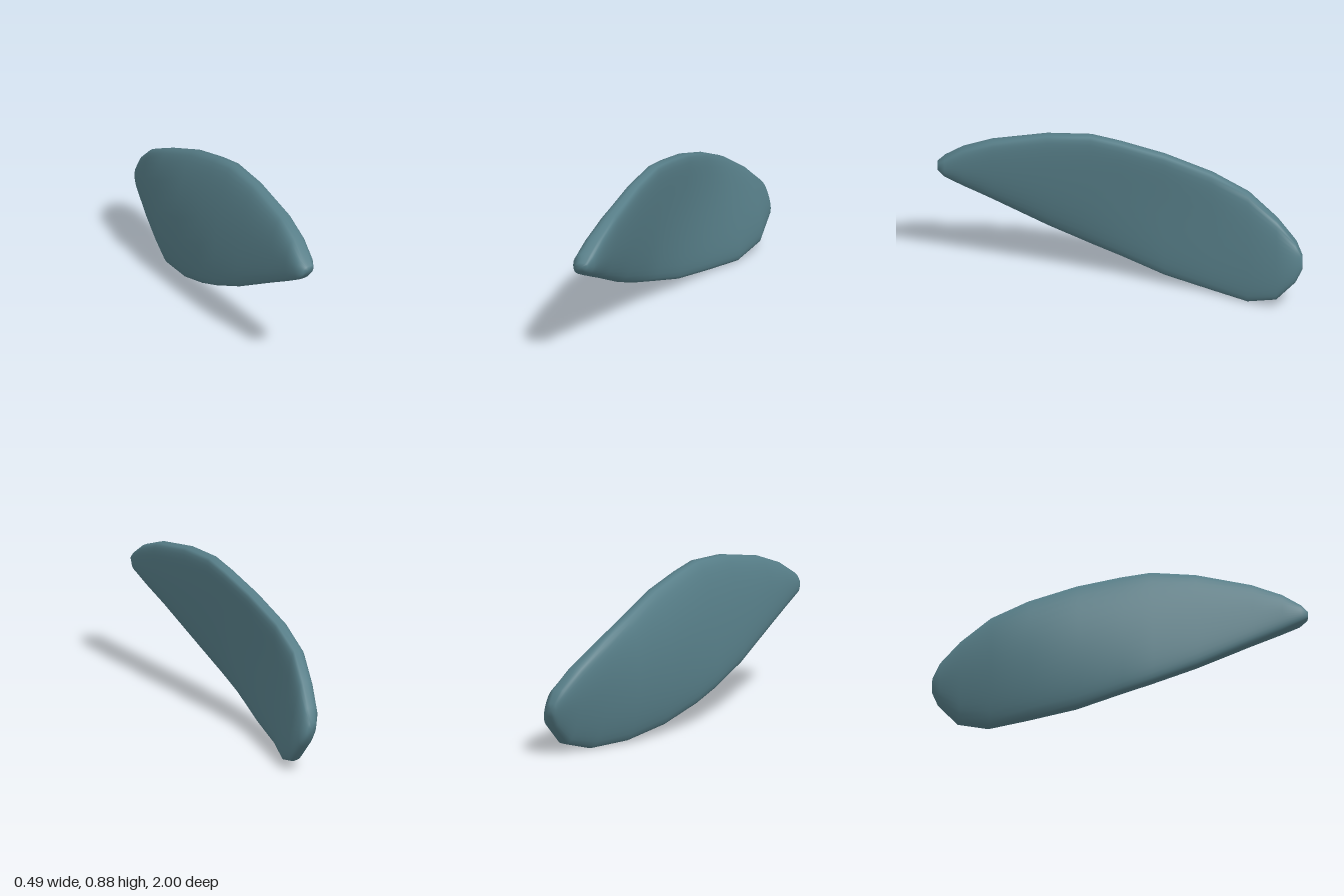
import * as THREE from 'three';

// Cross-sections from front tip to back end:
// z, bottom y, top y, bottom x, top x, half thickness, sideways bow of the middle
const SECTIONS = [
  [1.0, 0.585, 0.635, -0.2, -0.185, 0.035, 0],
  [0.96, 0.55, 0.67, -0.195, -0.185, 0.06, 0],
  [0.86, 0.5, 0.74, -0.19, -0.16, 0.066, 0],
  [0.7, 0.425, 0.805, -0.187, -0.13, 0.067, 0],
  [0.4, 0.28, 0.87, -0.178, -0.09, 0.066, 0.003],
  [0.16, 0.185, 0.885, -0.155, -0.063, 0.066, 0.01],
  [0.0, 0.13, 0.857, -0.13, -0.047, 0.067, 0.018],
  [-0.24, 0.055, 0.8, -0.065, -0.025, 0.068, 0.035],
  [-0.5, 0.011, 0.705, 0.015, -0.01, 0.068, 0.032],
  [-0.7, 0.0, 0.61, 0.117, 0.025, 0.067, 0.016],
  [-0.86, 0.05, 0.49, 0.182, 0.093, 0.067, 0.005],
  [-0.965, 0.165, 0.38, 0.197, 0.145, 0.058, 0],
  [-1.0, 0.23, 0.305, 0.18, 0.165, 0.03, 0],
];
const SIDES = 36;

// Flat-sided loop, fuller at two opposite rim corners, leaning and bowing with its section
function sectionPoint([z, yb, yt, xb, xt, half, bow], angle) {
  const v = Math.cos(angle);
  const s = Math.sin(angle);
  const side = Math.sign(s) * Math.pow(Math.abs(s), s * v > 0 ? 0.45 : 0.7);
  const x = THREE.MathUtils.lerp(xb, xt, (v + 1) / 2) - bow * (1 - v * v) + half * side;
  const y = (yb + yt) / 2 + (v * (yt - yb)) / 2;
  return [x, y, z];
}

function bladeGeometry() {
  const positions = [];
  const index = [];
  for (const section of SECTIONS) {
    for (let j = 0; j < SIDES; j++) {
      positions.push(...sectionPoint(section, (j / SIDES) * Math.PI * 2));
    }
  }
  const last = SECTIONS.length - 1;
  for (let i = 0; i < last; i++) {
    for (let j = 0; j < SIDES; j++) {
      const k = (j + 1) % SIDES;
      const a = i * SIDES + j, b = a + SIDES;
      const c = i * SIDES + k, d = c + SIDES;
      index.push(a, c, b, b, c, d);
    }
  }
  // Small end caps
  for (const i of [0, last]) {
    const [z, yb, yt, xb, xt] = SECTIONS[i];
    const centre = positions.length / 3;
    positions.push((xb + xt) / 2, (yb + yt) / 2, z);
    for (let j = 0; j < SIDES; j++) {
      const a = i * SIDES + j, b = i * SIDES + ((j + 1) % SIDES);
      if (i === 0) index.push(centre, b, a);
      else index.push(centre, a, b);
    }
  }
  const geometry = new THREE.BufferGeometry();
  geometry.setAttribute('position', new THREE.Float32BufferAttribute(positions, 3));
  geometry.setIndex(index);
  geometry.computeVertexNormals();
  return geometry;
}

export function createModel() {
  const group = new THREE.Group();
  const blade = new THREE.Mesh(bladeGeometry(), new THREE.MeshStandardMaterial({ color: 0x567d87 }));
  blade.name = 'curvedBlade';
  group.add(blade);
  return group;
}
